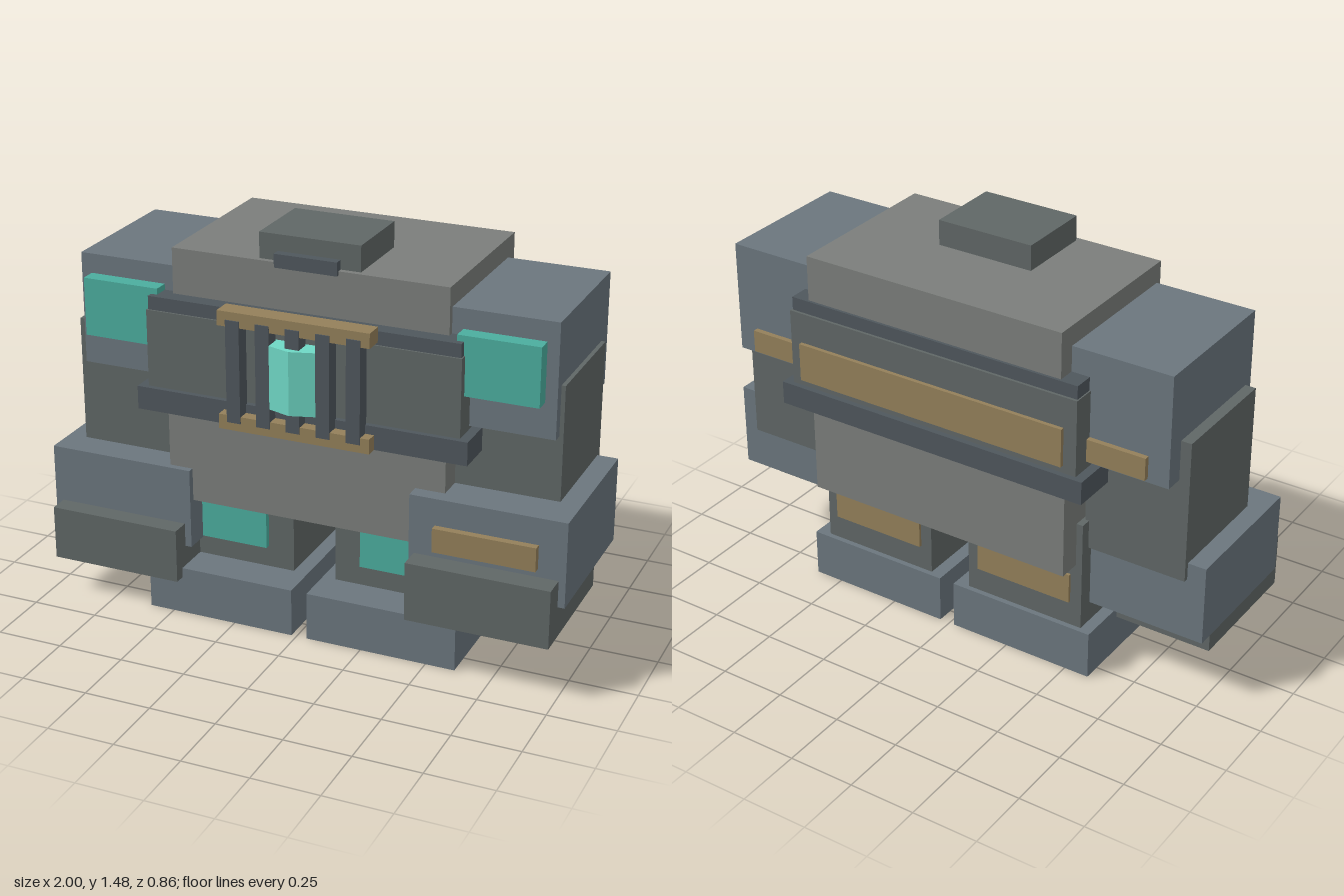
import * as THREE from 'three';

const mat = (color) => new THREE.MeshStandardMaterial({ color, flatShading: true });

export function createModel() {
  const model = new THREE.Group();
  const stone = mat(0x7b7e7b), dark = mat(0x606766), steel = mat(0x6b767e);
  const trim = mat(0x4f575d), gold = mat(0x94805a), teal = mat(0x4bae9f), glow = mat(0x6fd8c5);

  // Box given by its extents along each axis
  function block(name, material, [x0, x1], [y0, y1], [z0, z1], parent = model) {
    const mesh = new THREE.Mesh(new THREE.BoxGeometry(x1 - x0, y1 - y0, z1 - z0), material);
    mesh.position.set((x0 + x1) / 2, (y0 + y1) / 2, (z0 + z1) / 2);
    mesh.name = name;
    parent.add(mesh);
    return mesh;
  }

  // Torso and chest bands
  block('abdomen', stone, [-0.525, 0.54], [0.44, 0.84], [-0.38, 0.29]);
  block('upperTorso', stone, [-0.51, 0.53], [0.84, 1.385], [-0.39, 0.255]);
  block('chestBand', dark, [-0.585, 0.6], [0.87, 1.165], [-0.41, 0.32]);
  block('upperTrim', trim, [-0.58, 0.595], [1.165, 1.215], [-0.4, 0.313]);
  block('lowerTrim', trim, [-0.62, 0.635], [0.79, 0.877], [-0.43, 0.34]);
  block('backPlate', gold, [-0.535, 0.555], [0.905, 1.05], [-0.425, -0.4]);

  // Head
  block('head', dark, [-0.18, 0.2], [1.38, 1.48], [-0.06, 0.235]);
  block('visor', trim, [-0.11, 0.125], [1.37, 1.42], [0.22, 0.268]);

  // Caged core on the chest
  const cage = new THREE.Group();
  cage.name = 'coreCage';
  model.add(cage);
  for (const y of [0.79, 1.175]) block('cageRail', gold, [-0.275, 0.295], [y, y + 0.055], [0.31, 0.383], cage);
  for (let i = 0; i < 5; i++) {
    const x = 0.01 + (i - 2) * 0.113;
    block('cageBar', trim, [x - 0.026, x + 0.026], [0.82, 1.2], [0.33, 0.387], cage);
  }
  const profile = new THREE.Shape(
    [[-0.1, -0.32], [0.115, -0.32], [0.115, -0.38], [0.008, -0.412], [-0.1, -0.38]]
      .map(([x, y]) => new THREE.Vector2(x, y)));
  const core = new THREE.Mesh(
    new THREE.ExtrudeGeometry(profile, { depth: 0.235, bevelEnabled: false }), glow);
  core.rotation.x = -Math.PI / 2;
  core.position.y = 0.895;
  core.name = 'core';
  cage.add(core);

  // Arms, which differ a little in height from side to side
  const sides = [
    { name: 'right', shoulder: [-0.89, -0.5], lamp: [-0.85, -0.555], plate: [-0.81, -0.57],
      arm: [-0.93, -0.535], armTop: 1.04, fore: [-1, -0.435], foreY: [0.26, 0.565], foreZ: [-0.237, 0.315],
      hand: [-0.97, -0.46], handY: [0.145, 0.35], handZ: [-0.12, 0.387],
      leg: [-0.55, -0.075], knee: [-0.445, -0.175], foot: [-0.595, -0.02] },
    { name: 'left', shoulder: [0.52, 0.908], lamp: [0.57, 0.865], plate: [0.59, 0.83],
      arm: [0.54, 0.923], armTop: 1.075, fore: [0.43, 1], foreY: [0.33, 0.65], foreZ: [-0.23, 0.345],
      hand: [0.45, 0.975], handY: [0.21, 0.43], handZ: [-0.08, 0.43],
      leg: [0.09, 0.557], knee: [0.195, 0.455], foot: [0.04, 0.61] },
  ];
  for (const s of sides) {
    const arm = new THREE.Group();
    arm.name = s.name + 'Arm';
    model.add(arm);
    block('shoulder', steel, s.shoulder, [0.89, 1.31], [-0.325, 0.232], arm);
    block('shoulderPanel', teal, s.lamp, [1.02, 1.237], [0.22, 0.29], arm);
    block('shoulderBackPlate', gold, s.plate, [0.905, 0.99], [-0.345, -0.31], arm);
    block('upperArm', dark, s.arm, [0.5, s.armTop], [-0.255, 0.195], arm);
    block('forearm', steel, s.fore, s.foreY, s.foreZ, arm);
    block('hand', dark, s.hand, s.handY, s.handZ, arm);
    if (s.name === 'left') block('forearmPlate', gold, [0.525, 0.9], [0.46, 0.55], [0.33, 0.372], arm);

    // Leg with knee panel, calf plate and foot
    const leg = new THREE.Group();
    leg.name = s.name + 'Leg';
    model.add(leg);
    block('leg', dark, s.leg, [0.17, 0.61], [-0.295, 0.2], leg);
    block('kneePanel', teal, s.knee, [0.265, 0.46], [0.18, 0.222], leg);
    block('calfPlate', gold, [s.leg[0] + 0.045, s.leg[1] - 0.045], [0.28, 0.395], [-0.306, -0.28], leg);
    block('foot', steel, s.foot, [0, 0.182], [-0.315, 0.345], leg);
  }
  return model;
}
